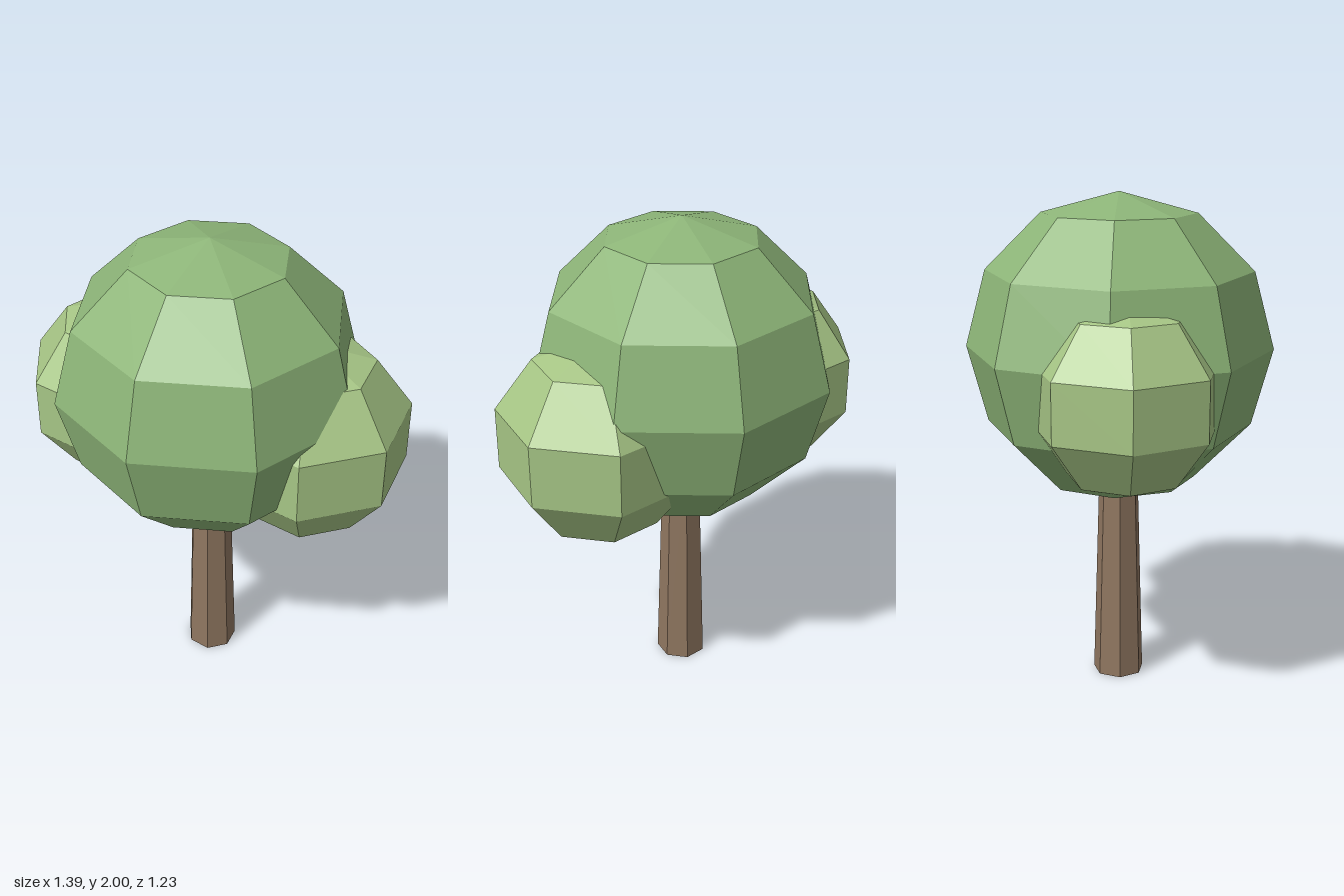
import * as THREE from 'three';

const material = (color) => new THREE.MeshStandardMaterial({ color, flatShading: true });

export function createModel() {
  const tree = new THREE.Group();
  tree.name = 'tree';

  const bark = material(0x8f7660);
  const darkLeaves = material(0x8db578);
  const lightLeaves = material(0xa6c585);

  // Tapered seven-sided trunk, its top buried in the crown
  const trunkHeight = 0.95;
  const trunk = new THREE.Mesh(new THREE.CylinderGeometry(0.078, 0.105, trunkHeight, 7), bark);
  trunk.name = 'trunk';
  trunk.position.set(-0.04, trunkHeight / 2, 0);
  trunk.rotation.y = Math.PI;
  tree.add(trunk);

  // Faceted foliage balls
  const addFoliage = (name, radius, sides, rings, position, leaves) => {
    const ball = new THREE.Mesh(new THREE.SphereGeometry(radius, sides, rings), leaves);
    ball.name = name;
    ball.position.set(...position);
    ball.rotation.y = -Math.PI / 2;
    tree.add(ball);
  };
  addFoliage('crown', 0.613, 8, 6, [-0.04, 1.387, 0], darkLeaves);
  addFoliage('leftFrontFoliage', 0.413, 7, 5, [0.31, 1.193, 0.196], lightLeaves);
  addFoliage('rightBackFoliage', 0.38, 7, 5, [-0.346, 1.27, -0.234], lightLeaves);

  return tree;
}
